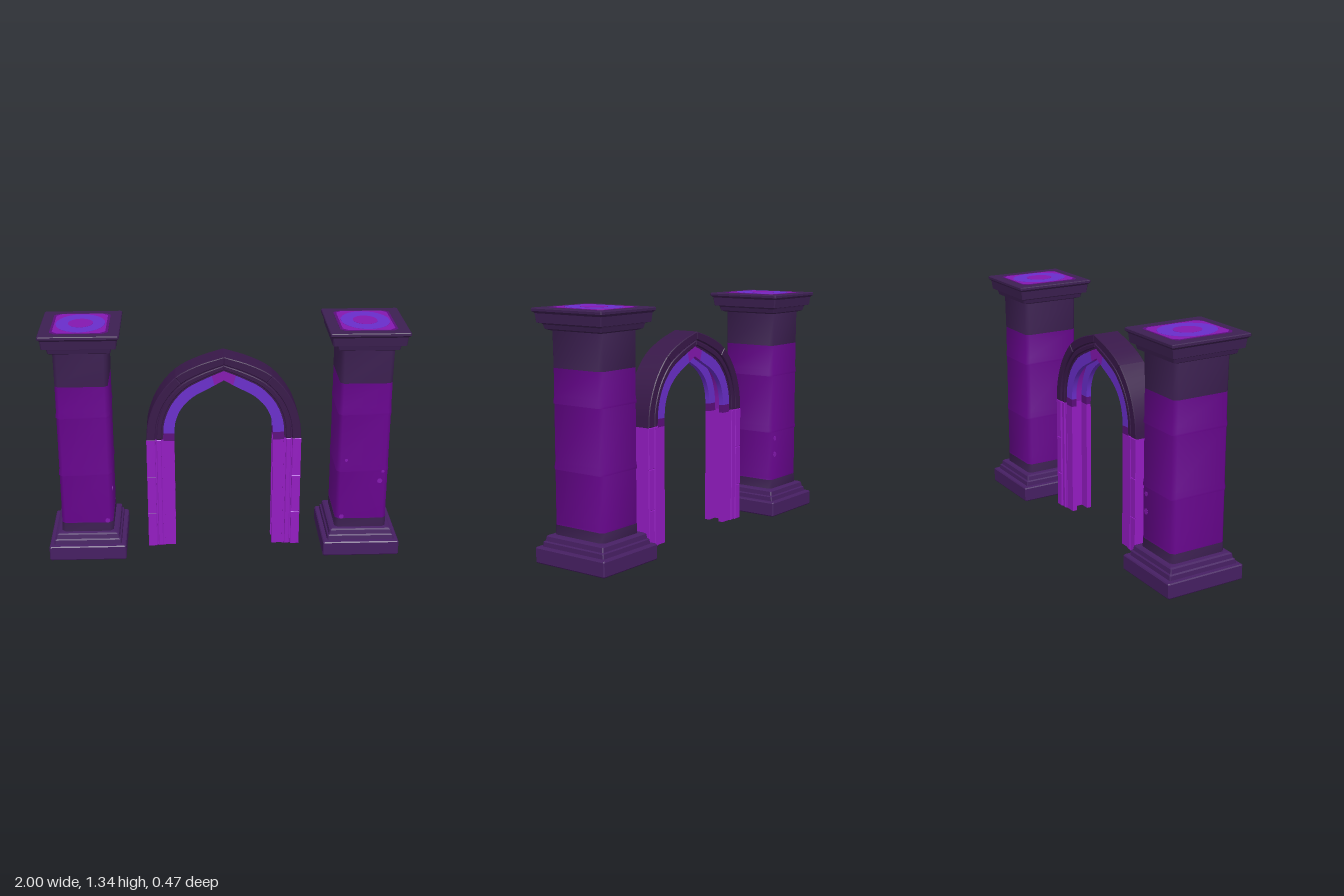
import * as THREE from 'three';
import { toCreasedNormals } from 'three/addons/utils/BufferGeometryUtils.js';

const mat = (name, color) => {
  const m = new THREE.MeshStandardMaterial({ color });
  m.name = name;
  return m;
};

export function createModel() {
  const darkStone = mat('dark stone', 0x3d2052);
  const baseStone = mat('base stone', 0x461f62);
  const archStone = mat('arch stone', 0x381849);
  const purple = mat('shaft purple', 0x68048e);
  const bright = mat('bright purple', 0x941cc2);
  const violet = mat('violet', 0x8418b0);
  const blue = mat('blue violet', 0x6a2ecb);
  const plum = mat('plum', 0x5c0f7c);

  const root = new THREE.Group();
  root.name = 'archAndPillars';

  const add = (parent, name, geometry, material) => {
    const mesh = new THREE.Mesh(geometry, material);
    mesh.name = name;
    parent.add(mesh);
    return mesh;
  };

  // Stack of chamfered rectangles, each ring [y, halfX, halfZ]
  function loft(rings, c) {
    const pos = [];
    const loops = rings.map(([y, a, b]) => [
      [a, b - c], [a, c - b], [a - c, -b], [c - a, -b],
      [-a, c - b], [-a, b - c], [c - a, b], [a - c, b],
    ].map(([x, z]) => [x, y, z]));
    const tri = (p, q, r) => pos.push(...p, ...q, ...r);
    for (let i = 0; i + 1 < loops.length; i++) {
      for (let j = 0; j < 8; j++) {
        const k = (j + 1) % 8, lo = loops[i], hi = loops[i + 1];
        tri(lo[j], lo[k], hi[k]);
        tri(lo[j], hi[k], hi[j]);
      }
    }
    const bottom = loops[0], top = loops[loops.length - 1];
    for (let j = 1; j < 7; j++) {
      tri(bottom[0], bottom[j + 1], bottom[j]);
      tri(top[0], top[j], top[j + 1]);
    }
    const g = new THREE.BufferGeometry();
    g.setAttribute('position', new THREE.Float32BufferAttribute(pos, 3));
    g.computeVertexNormals();
    return g;
  }
  // Softly rounded corners for the shaft
  const softLoft = (rings, c) => toCreasedNormals(loft(rings, c), 0.85);

  function makePillar(name, x) {
    const p = new THREE.Group();
    p.name = name;
    p.position.x = x;
    // Stepped plinth
    add(p, 'plinth', loft([
      [0, 0.214, 0.233], [0.006, 0.218, 0.237], [0.08, 0.218, 0.237], [0.086, 0.213, 0.232],
      [0.088, 0.192, 0.211], [0.112, 0.19, 0.208], [0.118, 0.182, 0.2], [0.142, 0.178, 0.196],
      [0.148, 0.168, 0.187], [0.152, 0.15, 0.173],
    ], 0.006), baseStone);
    add(p, 'shaftFoot', softLoft([[0.15, 0.147, 0.171], [0.205, 0.146, 0.17]], 0.02), darkStone);
    // Shaft blocks with a slight lip at each joint
    [[0.205, 0.5], [0.5, 0.845], [0.845, 1.03]].forEach(([y0, y1], i) => {
      const lip = i ? 0.003 : 0;
      add(p, 'shaftBlock', softLoft([
        [y0, 0.145 + lip, 0.169 + lip], [y0 + 0.012, 0.145 + lip, 0.169 + lip],
        [y0 + 0.04, 0.145, 0.169], [y1, 0.145, 0.169],
      ], 0.02), purple);
    });
    add(p, 'shaftNeck', softLoft([[1.03, 0.145, 0.169], [1.225, 0.147, 0.171]], 0.02), darkStone);
    // Capital
    add(p, 'capital', loft([
      [1.222, 0.15, 0.174], [1.23, 0.168, 0.193], [1.252, 0.174, 0.198], [1.258, 0.18, 0.2],
      [1.262, 0.2, 0.219], [1.31, 0.205, 0.225], [1.318, 0.214, 0.232],
      [1.322, 0.218, 0.237], [1.334, 0.218, 0.237], [1.338, 0.214, 0.233],
    ], 0.006), darkStone);
    // Glowing patches on top
    add(p, 'topBorder', loft([[1.336, 0.157, 0.183], [1.339, 0.157, 0.183]], 0.025), plum);
    add(p, 'topPatch', loft([[1.336, 0.143, 0.175], [1.34, 0.143, 0.175]], 0.03), violet);
    [['topRing', 0.135, 0.163, 1.341, blue], ['topCentre', 0.068, 0.078, 1.342, violet]]
      .forEach(([n, rx, rz, y, m]) => {
        const disc = add(p, n, new THREE.CylinderGeometry(1, 1, 0.003, 24), m);
        disc.scale.set(rx, 1, rz);
        disc.position.y = y - 0.0015;
      });
    root.add(p);
    return p;
  }
  const leftPillar = makePillar('leftPillar', 0.782);
  const rightPillar = makePillar('rightPillar', -0.782);

  // Small glowing spots on the shafts: pillar, x, y, z, radius, facing sideways
  [
    [leftPillar, 0.1, 0.44, 0.169, 0.015], [leftPillar, 0.115, 0.5, 0.171, 0.009],
    [leftPillar, -0.095, 0.57, 0.169, 0.009], [leftPillar, -0.11, 0.217, 0.169, 0.014],
    [rightPillar, 0.115, 0.217, 0.169, 0.014],
    [rightPillar, 0.1, 0.46, -0.169, 0.014], [rightPillar, 0.1, 0.36, -0.169, 0.017],
    [rightPillar, 0.145, 0.4, 0.13, 0.016, true],
  ].forEach(([pillar, x, y, z, r, sideways]) => {
    const spot = add(pillar, 'shaftSpot', new THREE.CylinderGeometry(r, r, 0.004, 8), violet);
    spot.rotation.set(sideways ? 0 : Math.PI / 2, 0, sideways ? Math.PI / 2 : 0);
    spot.position.set(x, y, z);
  });

  // Pointed arch: inner and outer edge of one half, from springing to apex
  const curve = pts => new THREE.CatmullRomCurve3(pts.map(([x, y]) => new THREE.Vector3(x, y, 0)));
  const inner = curve([[0.28, 0.67], [0.273, 0.77], [0.238, 0.855], [0.17, 0.925], [0.08, 0.975], [0, 1.02]]);
  const outer = curve([[0.439, 0.67], [0.427, 0.78], [0.373, 0.92], [0.27, 1.045], [0.14, 1.115], [0, 1.16]]);
  const at = (t, f) => inner.getPoint(t).lerp(outer.getPoint(t), f);
  const legX = f => 0.28 + 0.159 * f;

  function prism(points, side, z0, z1, bevel) {
    const shape = new THREE.Shape(points.map(p => new THREE.Vector2(p.x * side, p.y)));
    const g = new THREE.ExtrudeGeometry(shape, {
      depth: z1 - z0 - 2 * bevel, bevelEnabled: bevel > 0, bevelSize: bevel,
      bevelOffset: -bevel, bevelThickness: bevel, bevelSegments: 1,
    });
    return toCreasedNormals(g.translate(0, 0, z0 + bevel), 0.4);
  }
  // Curved piece between parameters t0..t1 and fractions f0..f1 of the thickness
  function archPiece(t0, t1, f0, f1) {
    const n = Math.max(2, Math.round((t1 - t0) * 18)), a = [], b = [];
    for (let i = 0; i <= n; i++) {
      const t = t0 + (t1 - t0) * i / n;
      a.push(at(t, f0));
      b.unshift(at(t, f1));
    }
    return a.concat(b);
  }
  const legPiece = (y0, y1, f0, f1) => [
    new THREE.Vector2(legX(f0), y0), new THREE.Vector2(legX(f1), y0),
    new THREE.Vector2(legX(f1), y1), new THREE.Vector2(legX(f0), y1),
  ];

  for (const side of [1, -1]) {
    const half = new THREE.Group();
    half.name = side > 0 ? 'leftArchHalf' : 'rightArchHalf';
    root.add(half);
    const put = (name, pts, z0, z1, m, bevel = 0) => add(half, name, prism(pts, side, z0, z1, bevel), m);

    // Solid core behind the mouldings, with a coloured lining under the arch
    put('legCore', legPiece(0, 0.67, 0.38, 0.97), -0.066, 0.066, bright);
    put('archCore', archPiece(0, 1, 0.4, 0.97), -0.066, 0.066, archStone);
    put('archLining', archPiece(0, 1, 0.37, 0.4), -0.04, 0.04, violet);

    // Outer blocks with joints
    [[0, 0.21], [0.21, 0.44], [0.44, 0.67]].forEach(([y0, y1]) =>
      put('legBlock', legPiece(y0, y1, 0.68, 1), -0.08, 0.08, bright, 0.003));
    [[0, 0.6], [0.6, 1]].forEach(([t0, t1]) =>
      put('archBlock', archPiece(t0, t1, 0.68, 1), -0.08, 0.08, archStone, 0.004));

    // Bead and inner web, doubled on front and back with a gap between
    for (const s of [1, -1]) {
      const pair = (name, pts, near, far, m, bevel) =>
        put(name, pts, Math.min(s * near, s * far), Math.max(s * near, s * far), m, bevel);
      pair('legBead', legPiece(0, 0.67, 0.46, 0.64), 0.045, 0.076, bright, 0.004);
      pair('archBead', archPiece(0, 1, 0.46, 0.64), 0.045, 0.076, archStone, 0.004);
      pair('legWeb', legPiece(0, 0.66, 0, 0.42), 0.035, 0.064, bright);
      pair('webFoot', legPiece(0.66, 0.67, 0, 0.42), 0.035, 0.064, plum);
      pair('webSpring', archPiece(0, 0.07, 0, 0.42), 0.035, 0.064, plum);
      pair('webArch', archPiece(0.07, 0.87, 0, 0.42), 0.035, 0.064, blue);
      pair('webApex', archPiece(0.87, 1, 0, 0.42), 0.035, 0.064, violet);
    }
  }
  return root;
}
